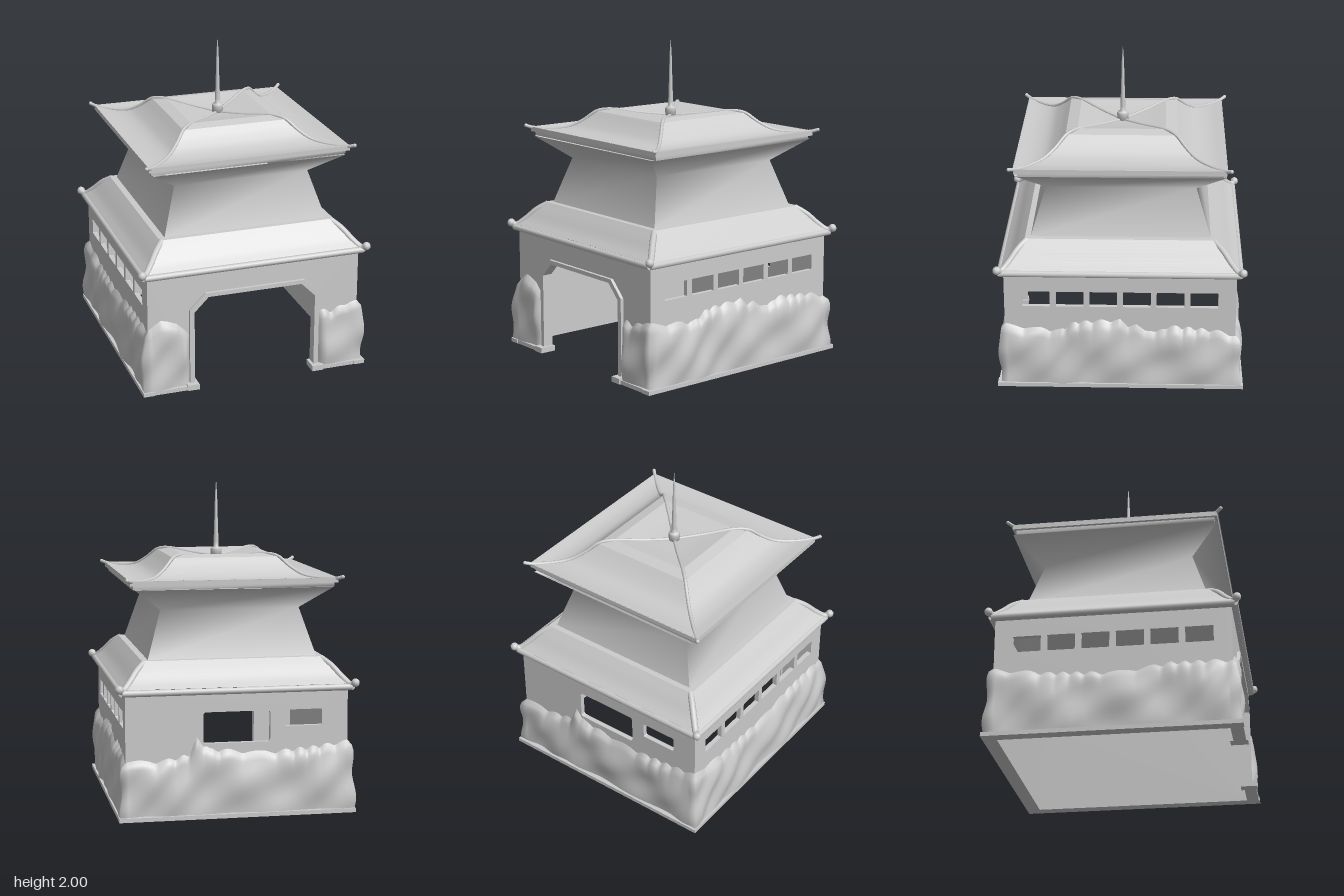
import * as THREE from 'three';

const mat = new THREE.MeshStandardMaterial({ color: 0xcccccc, side: THREE.DoubleSide });
const WX = 0.68, WZ = 0.71, T = 0.03;

export function createModel() {
  const root = new THREE.Group();
  root.name = 'pagodaGatehouse';
  const add = (name, geo, x = 0, y = 0, z = 0) => {
    const m = new THREE.Mesh(geo, mat);
    m.name = name;
    m.position.set(x, y, z);
    root.add(m);
    return m;
  };
  const box = (name, x0, x1, y0, y1, z0, z1) =>
    add(name, new THREE.BoxGeometry(x1 - x0, y1 - y0, z1 - z0), (x0 + x1) / 2, (y0 + y1) / 2, (z0 + z1) / 2);
  const poly = (pts) => new THREE.Shape(pts.map(([x, y]) => new THREE.Vector2(x, y)));
  const extrude = (shape, depth) => new THREE.ExtrudeGeometry(shape, { depth, bevelEnabled: false, curveSegments: 5 });

  // Rectangular opening with rounded corners
  const windowHole = (x0, x1, y0, y1, r) => {
    const p = new THREE.Path();
    p.moveTo(x0 + r, y0);
    p.lineTo(x1 - r, y0).quadraticCurveTo(x1, y0, x1, y0 + r);
    p.lineTo(x1, y1 - r).quadraticCurveTo(x1, y1, x1 - r, y1);
    p.lineTo(x0 + r, y1).quadraticCurveTo(x0, y1, x0, y1 - r);
    p.lineTo(x0, y0 + r).quadraticCurveTo(x0, y0, x0 + r, y0);
    return p;
  };

  // Four-sided skirt with sharp hips, lofted through [halfWidth, y] rows; z is wider by dz
  const skirt = (name, rows, dz = 0) => {
    const pos = [], idx = [];
    for (let s = 0; s < 4; s++) {
      const base = pos.length / 3, a = (s * Math.PI) / 2, c = Math.round(Math.cos(a)), n = Math.round(Math.sin(a));
      rows.forEach(([h, y], i) => {
        for (const e of [-1, 1]) {
          const x = e * c + n, z = c - e * n;
          pos.push(x * h, y, z * (h + (h > 0 ? dz : 0)));
        }
        if (i) {
          const k = base + 2 * i;
          idx.push(k - 2, k - 1, k + 1, k - 2, k + 1, k);
        }
      });
    }
    const g = new THREE.BufferGeometry();
    g.setAttribute('position', new THREE.Float32BufferAttribute(pos, 3));
    g.setIndex(idx);
    g.computeVertexNormals();
    return add(name, g);
  };
  const smooth = (pts, n) =>
    new THREE.CatmullRomCurve3(pts.map(([h, y]) => new THREE.Vector3(h, y, 0))).getPoints(n).map((p) => [p.x, p.y]);

  // Ridge tubes along the four diagonals, closed by rounded ends
  const hips = (name, pts, r, dz, knob) => {
    for (const sx of [-1, 1]) for (const sz of [-1, 1]) {
      const v = pts.map(([h, y]) => new THREE.Vector3(sx * h, y, sz * (h + (h > 0 ? dz : 0))));
      add(name, new THREE.TubeGeometry(new THREE.CatmullRomCurve3(v), 32, r, 8));
      add(name + 'End', new THREE.SphereGeometry(knob, 10, 8), v[0].x, v[0].y, v[0].z);
    }
  };

  // Front wall with the chamfered gateway
  const arch = (w, h, c) => [[w, 0], [w, h - c], [w - c, h], [-w + c, h], [-w, h - c], [-w, 0]];
  add('frontWall', extrude(poly([[-WX, 0], [-WX, 0.77], [WX, 0.77], [WX, 0], ...arch(0.395, 0.6, 0.09)]), T), 0, 0, WZ - T);
  add('doorFrame', extrude(poly([...arch(0.42, 0.62, 0.1), ...arch(0.39, 0.595, 0.09).reverse()]), 0.065), 0, 0, WZ - 0.045);

  // Back wall with a wide and a small window
  const wall = (w) => poly([[-w, 0], [w, 0], [w, 0.77], [-w, 0.77]]);
  const back = wall(WX);
  back.holes.push(windowHole(-0.2, 0.21, 0.45, 0.64, 0.02), windowHole(-0.52, -0.29, 0.54, 0.64, 0.012));
  add('backWall', extrude(back, T), 0, 0, -WZ);

  // Side walls with six windows each
  for (const s of [-1, 1]) {
    const side = wall(WZ - T);
    for (let i = 0; i < 6; i++) {
      const c = (i - 2.5) * 0.206;
      side.holes.push(windowHole(c - 0.085, c + 0.085, 0.54, 0.64, 0.003));
    }
    add('sideWall', extrude(side, T), s > 0 ? WX - T : -WX, 0, 0).rotation.y = Math.PI / 2;
    // Plinth strips and door feet
    box('sidePlinth', s * 0.69 - 0.035, s * 0.69 + 0.035, 0, 0.025, -0.765, 0.76);
    box('frontPlinth', s * 0.55 - 0.14, s * 0.55 + 0.14, 0, 0.025, 0.68, 0.755);
    box('doorFoot', s * 0.408 - 0.037, s * 0.408 + 0.037, 0, 0.035, 0.66, 0.765);
  }
  box('backPlinth', -0.7, 0.7, 0, 0.025, -0.765, -0.68);
  box('ceiling', -0.55, 0.55, 0.925, 0.935, -0.57, 0.57);

  // Lower roof
  skirt('lowerSoffit', [[0.65, 0.75], [0.7, 0.75]], 0.03);
  skirt('lowerFascia', [[0.7, 0.75], [0.7, 0.79]], 0.03);
  skirt('lowerRoof', smooth([[0.7, 0.79], [0.655, 0.83], [0.605, 0.89], [0.56, 0.94]], 10), 0.025);
  skirt('lowerRoofTop', [[0.56, 0.94], [0.48, 0.942]], 0.025);
  for (const s of [-1, 1]) {
    add('eavePole', new THREE.CylinderGeometry(0.02, 0.02, 1.4, 10), 0, 0.77, s * 0.73).rotation.z = Math.PI / 2;
    add('eavePole', new THREE.CylinderGeometry(0.02, 0.02, 1.46, 10), s * 0.7, 0.77, 0).rotation.x = Math.PI / 2;
  }
  hips('lowerHip', [[0.718, 0.797], [0.695, 0.785], [0.65, 0.825], [0.6, 0.885], [0.545, 0.93]], 0.02, 0.027, 0.026);

  // Upper storey: tapered wall that flares out to the eaves
  skirt('upperWall', [[0.52, 0.94], [0.43, 1.23], [0.605, 1.37]], 0.03);
  skirt('upperEaveLower', [[0.605, 1.37], [0.615, 1.37], [0.615, 1.395]]);
  skirt('upperEaveSoffit', [[0.61, 1.395], [0.635, 1.395]]);
  skirt('upperFascia', [[0.635, 1.395], [0.635, 1.425]]);

  // Upper roof: concave slope, raised rim and sunken crown
  const slope = [[0.635, 1.425], [0.54, 1.415], [0.455, 1.43], [0.39, 1.475], [0.33, 1.533]];
  skirt('upperRoof', smooth(slope, 20), 0.005);
  skirt('crownRim', [[0.33, 1.533], [0.26, 1.548]], 0.01);
  skirt('crown', smooth([[0.26, 1.548], [0.13, 1.525], [0, 1.51]], 8), 0.01);
  hips('upperHip', [[0.655, 1.432], [0.63, 1.422], ...slope.slice(1), [0.27, 1.546], [0.13, 1.525], [0, 1.512]], 0.011, 0.005, 0.012);

  // Spire
  const spire = [[0, 1.5], [0.034, 1.505], [0.036, 1.555], [0.03, 1.566], [0.016, 1.572], [0.016, 1.6], [0.011, 1.75], [0.007, 1.9], [0, 2]];
  add('spire', new THREE.LatheGeometry(spire.map(([x, y]) => new THREE.Vector2(x, y)), 14));

  // Lumpy shrubbery hugging the walls from one door jamb round to the other: [x, z, height]
  const stops = [
    [0.42, WZ, 0.38], [0.52, WZ, 0.36], [0.6, WZ, 0.4], [WX, WZ, 0.4], [WX, 0.38, 0.36], [WX, 0.27, 0.42], [WX, 0, 0.44],
    [WX, -0.05, 0.38], [WX, -0.1, 0.41], [WX, -0.22, 0.35], [WX, -0.3, 0.4], [WX, -0.6, 0.37], [WX, -WZ, 0.34],
    [0.45, -WZ, 0.34], [0.3, -WZ, 0.37], [0.25, -WZ, 0.47], [0.17, -WZ, 0.4], [-0.2, -WZ, 0.37], [-0.45, -WZ, 0.39], [-WX, -WZ, 0.42],
    [-WX, -0.4, 0.38], [-WX, 0, 0.36], [-WX, 0.35, 0.4], [-WX, WZ, 0.4], [-0.6, WZ, 0.45], [-0.5, WZ, 0.44], [-0.42, WZ, 0.33]];
  const cols = [];
  let run = 0;
  stops.slice(0, -1).forEach((a, i) => {
    const b = stops[i + 1], len = Math.hypot(b[0] - a[0], b[1] - a[1]), n = Math.ceil(len / 0.014);
    for (let k = 0; k < n + (i === stops.length - 2 ? 1 : 0); k++)
      cols.push([0, 1, 2].map((j) => a[j] + ((b[j] - a[j]) * k) / n).concat(run + (len * k) / n));
    run += len;
  });
  const R = 14, pos = [], idx = [];
  cols.forEach(([x, z, h, s], i) => {
    const nx = Math.abs(x) > WX - 1e-6 ? Math.sign(x) : 0, nz = Math.abs(z) > WZ - 1e-6 ? Math.sign(z) : 0;
    const top = h + 0.025 * Math.abs(Math.sin(s * 26 + 1.5 * Math.sin(s * 9)));
    const end = Math.min(1, Math.min(s, run - s) / 0.04);
    for (let j = 0; j <= R; j++) {
      const v = j / R, y = v * top;
      const lump = 0.5 + 0.25 * Math.sin(s * 13 + y * 9) + 0.25 * Math.sin(y * 21 - s * 19 + 2 * Math.sin(s * 5));
      const d = (0.025 + 0.033 * lump * Math.sin(Math.PI * Math.min(1, 0.2 + v * 0.6))) * Math.sqrt(end) * Math.sqrt(1 - v ** 8) - 0.002;
      pos.push(x + nx * d, y, z + nz * d);
      if (i && j) {
        const k = i * (R + 1) + j, p = k - R - 1;
        idx.push(p - 1, k - 1, k, p - 1, k, p);
      }
    }
  });
  const bush = new THREE.BufferGeometry();
  bush.setAttribute('position', new THREE.Float32BufferAttribute(pos, 3));
  bush.setIndex(idx);
  bush.computeVertexNormals();
  add('shrubbery', bush);

  return root;
}
